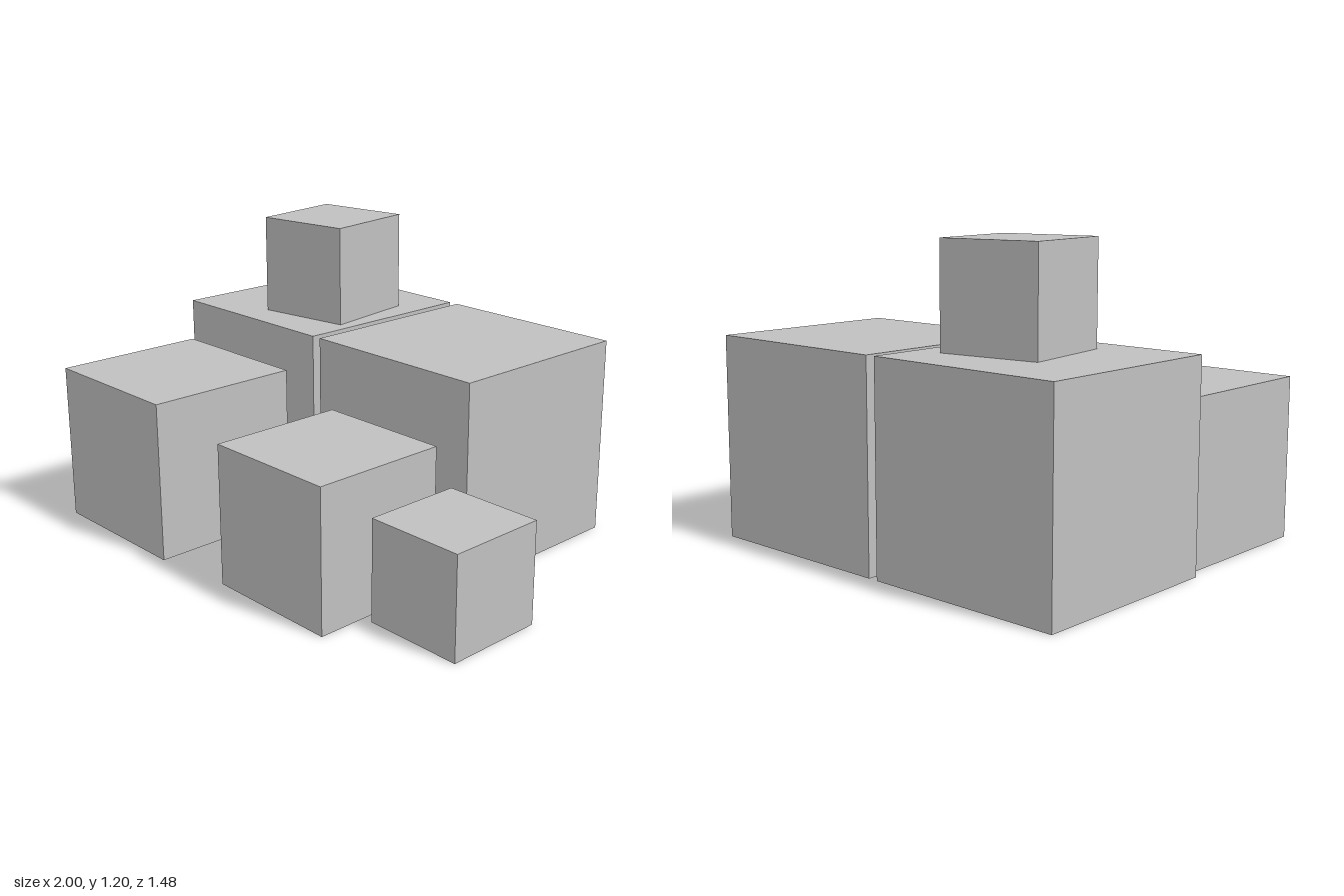
import * as THREE from 'three';

export function createModel() {
  const model = new THREE.Group();
  model.name = 'crateStack';
  const grey = new THREE.MeshStandardMaterial({ color: 0xc0c0c0 });
  grey.name = 'lightGrey';

  // Cube resting on height y, centred on x and z, turned about the vertical
  function addCrate(name, size, x, y, z, turn = 0) {
    const crate = new THREE.Mesh(new THREE.BoxGeometry(size, size, size), grey);
    crate.name = name;
    crate.position.set(x, y + size / 2, z);
    crate.rotation.y = turn;
    model.add(crate);
  }

  // Back row of large crates, with a small one turned on top
  addCrate('largeCrateRight', 0.8, -0.6, 0, -0.34);
  addCrate('largeCrateLeft', 0.8, 0.24, 0, -0.34);
  addCrate('topCrate', 0.4, -0.48, 0.8, -0.304, 0.15);

  // Front row, shrinking towards the left
  addCrate('mediumCrateRight', 0.64, -0.64, 0, 0.42);
  addCrate('mediumCrateMiddle', 0.56, 0.28, 0, 0.42);
  addCrate('smallCrateLeft', 0.4, 0.8, 0, 0.3);

  return model;
}
